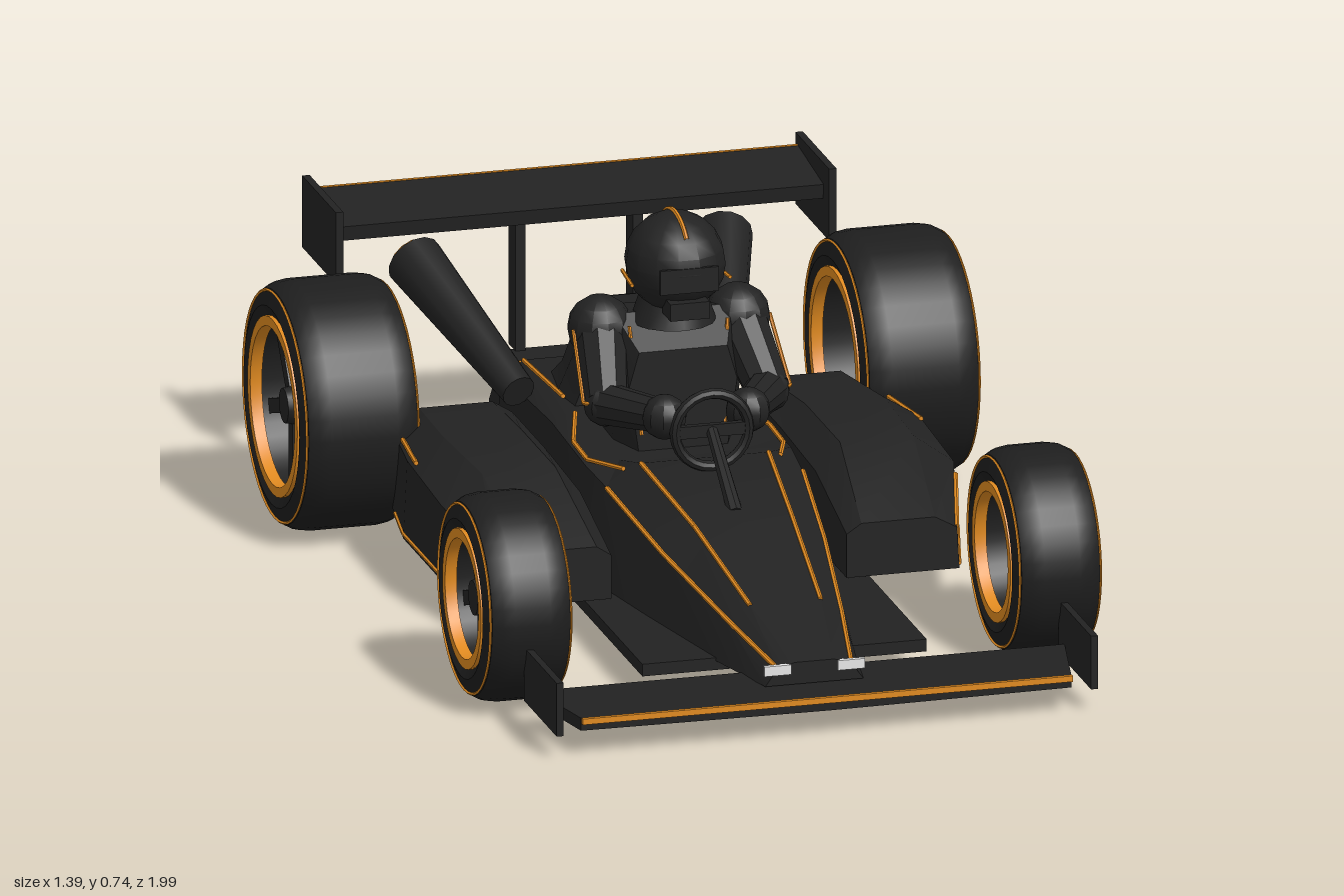
import * as THREE from 'three';
import { toCreasedNormals } from 'three/addons/utils/BufferGeometryUtils.js';

const V = (x, y, z) => new THREE.Vector3(x, y, z);
const mat = (name, color) => Object.assign(new THREE.MeshStandardMaterial({ color }), { name });

export function createModel() {
  const root = new THREE.Group();
  root.name = 'openWheelRacer';
  const black = mat('body black', 0x222222);
  const rubber = mat('tyre rubber', 0x1e1e1e);
  const orange = mat('orange trim', 0xe08a20);
  const white = mat('lamp white', 0xeeeeee);

  const add = (name, geo, material, pos = [0, 0, 0], parent = root) => {
    const m = new THREE.Mesh(toCreasedNormals(geo, 0.5), material);
    m.name = name;
    m.position.set(...pos);
    parent.add(m);
    return m;
  };
  const box = (name, size, pos, material = black, parent = root) =>
    add(name, new THREE.BoxGeometry(...size), material, pos, parent);
  // Tapered rod from a to b
  const rod = (name, a, b, r0, r1 = r0, material = orange, sides = 6) => {
    const d = b.clone().sub(a);
    const m = add(name, new THREE.CylinderGeometry(r1, r0, d.length(), sides), material);
    m.position.copy(a).addScaledVector(d, 0.5);
    m.quaternion.setFromUnitVectors(V(0, 1, 0), d.normalize());
    return m;
  };
  const stripe = (name, pts, r = 0.005) => {
    for (let i = 0; i + 1 < pts.length; i++) rod(name, pts[i], pts[i + 1], r);
  };
  // Skin over counter-clockwise sections, listed front to back
  const loft = (name, sections, material = black) => {
    const out = [];
    const P = (s, i) => [...s.pts[i % s.pts.length], s.z];
    const n = sections[0].pts.length;
    for (let k = 0; k + 1 < sections.length; k++) {
      const [s, t] = [sections[k], sections[k + 1]];
      for (let i = 0; i < n; i++)
        out.push(P(s, i), P(t, i), P(s, i + 1), P(s, i + 1), P(t, i), P(t, i + 1));
    }
    const [f, b] = [sections[0], sections[sections.length - 1]];
    for (let i = 1; i + 1 < n; i++)
      out.push(P(f, 0), P(f, i), P(f, i + 1), P(b, 0), P(b, i + 1), P(b, i));
    const g = new THREE.BufferGeometry();
    g.setAttribute('position', new THREE.Float32BufferAttribute(out.flat(), 3));
    return add(name, g, material);
  };
  const flip = pts => pts.map(([x, y]) => [-x, y]).reverse();
  const sym = (z, half) => ({ z, pts: [...half, ...flip(half)] });

  // Floor
  box('floor', [0.58, 0.025, 1.43], [0, 0.063, -0.04]);

  // Nose, cockpit and tail: bottom, shoulder and top edge per station
  const hull = [
    [0.89, [[0.1, 0.08], [0.075, 0.115], [0.04, 0.125]]],
    [0.68, [[0.14, 0.07], [0.115, 0.15], [0.072, 0.18]]],
    [0.38, [[0.2, 0.07], [0.165, 0.2], [0.1, 0.25]]],
    [0.1, [[0.25, 0.07], [0.2, 0.25], [0.13, 0.295]]],
    [-0.02, [[0.25, 0.07], [0.21, 0.26], [0.14, 0.265]]],
    [-0.3, [[0.24, 0.07], [0.2, 0.26], [0.15, 0.28]]],
    [-0.72, [[0.2, 0.08], [0.18, 0.22], [0.14, 0.25]]],
  ];
  loft('bodyShell', hull.map(([z, h]) => sym(z, h)));
  loft('engineCover', [
    sym(-0.33, [[0.15, 0.26], [0.11, 0.36], [0.07, 0.5]]),
    sym(-0.45, [[0.15, 0.26], [0.11, 0.35], [0.07, 0.46]]),
    sym(-0.61, [[0.13, 0.24], [0.09, 0.28], [0.06, 0.36]]),
  ]);
  loft('tailBlock', [
    sym(-0.68, [[0.2, 0.08], [0.17, 0.24]]),
    sym(-0.82, [[0.18, 0.14], [0.15, 0.24]]),
  ]);

  // Front wing with trim
  const wingPlan = new THREE.Shape([[-0.5, -0.975], [0, -0.985], [0.5, -0.975], [0.54, -0.785], [-0.54, -0.785]]
    .map(p => new THREE.Vector2(...p)));
  add('frontWing', new THREE.ExtrudeGeometry(wingPlan, { depth: 0.026, bevelEnabled: false })
    .rotateX(-Math.PI / 2), black, [0, 0.052, 0]);
  box('frontWingTrim', [1, 0.012, 0.009], [0, 0.074, 0.984], orange);

  // Rear wing with trim
  const rearWing = box('rearWing', [1, 0.03, 0.185], [0, 0.528, -0.888]);
  rearWing.rotation.x = 0.12;
  box('rearWingTrim', [1, 0.01, 0.008], [0, 0.55, -0.982], orange);

  for (const s of [1, -1]) {
    const side = (x, y, z) => V(s * x, y, z);

    // Wing endplates and pylons
    box('frontEndplate', [0.014, 0.11, 0.235], [s * 0.545, 0.102, 0.866]);
    box('rearEndplate', [0.015, 0.148, 0.243], [s * 0.503, 0.502, -0.876]);
    box('wingPylon', [0.02, 0.28, 0.05], [s * 0.12, 0.38, -0.83]);

    // Nose lamps and tail lamps
    box('noseLamp', [0.055, 0.02, 0.01], [s * 0.075, 0.112, 0.889], white);
    box('tailLamp', [0.055, 0.025, 0.01], [s * 0.165, 0.235, -0.72], orange);

    // Hull pinstripes
    stripe('shoulderStripe', hull.slice(0, 4).map(([z, h]) => side(...h[1], z)));
    stripe('noseStripe', hull.slice(1, 4).map(([z, h]) => side(...h[2], z)));
    stripe('tailStripe', [side(0.15, 0.28, -0.39), side(0.143, 0.256, -0.7)]);
    stripe('cockpitRim', [side(0.16, 0.28, 0.08), side(0.2, 0.265, -0.04), side(0.2, 0.27, -0.14), side(0.16, 0.285, -0.27)]);

    // Sidepods
    const pod = [
      [0.275, [[0.24, 0.08], [0.47, 0.08], [0.465, 0.165], [0.42, 0.19], [0.27, 0.19], [0.24, 0.17]]],
      [0.05, [[0.24, 0.08], [0.53, 0.08], [0.522, 0.225], [0.44, 0.285], [0.29, 0.285], [0.24, 0.23]]],
      [-0.2, [[0.24, 0.08], [0.53, 0.08], [0.522, 0.24], [0.45, 0.285], [0.29, 0.285], [0.24, 0.24]]],
      [-0.44, [[0.24, 0.08], [0.49, 0.08], [0.485, 0.225], [0.43, 0.265], [0.28, 0.265], [0.24, 0.24]]],
    ];
    loft('sidepod', pod.map(([z, p]) => ({ z, pts: s > 0 ? p : flip(p) })));
    stripe('podFrontStripe', [side(0.466, 0.165, 0.27), side(0.514, 0.212, 0.09)]);
    stripe('podRearStripe', [side(0.515, 0.247, -0.16), side(0.494, 0.241, -0.34)]);
    stripe('podSillStripe', [side(0.47, 0.09, 0.275), side(0.53, 0.09, 0.05), side(0.53, 0.09, -0.2), side(0.51, 0.09, -0.33)], 0.004);

    // Flared exhausts with glowing ends
    const e0 = side(0.21, 0.26, -0.5), e1 = side(0.315, 0.42, -0.88);
    const out = e1.clone().sub(e0).normalize();
    rod('exhaust', e0, e1, 0.035, 0.058, black, 14);
    rod('exhaustTip', e1, e1.clone().addScaledVector(out, 0.008), 0.05, 0.05, orange, 14);

    // Driver's arms
    const shoulder = side(0.14, 0.495, -0.16), elbow = side(0.165, 0.38, -0.03), hand = side(0.085, 0.39, 0.11);
    add('shoulder', new THREE.SphereGeometry(0.066, 12, 8), black, shoulder.toArray());
    rod('upperArm', shoulder, elbow, 0.056, 0.045, black, 10);
    add('elbow', new THREE.SphereGeometry(0.045, 10, 8), black, elbow.toArray());
    rod('forearm', elbow, hand, 0.043, 0.034, black, 10);
    add('glove', new THREE.SphereGeometry(0.045, 10, 8), black, hand.toArray());
    stripe('sleeveStripe', [side(0.2, 0.5, -0.14), side(0.211, 0.385, -0.03), side(0.125, 0.4, 0.085)], 0.004);
    stripe('suitStripe', [side(0.1, 0.515, -0.09), side(0.085, 0.3, -0.055)], 0.004);
    rod('helmetSideStripe', side(0.1, 0.605, -0.07), side(0.092, 0.605, -0.17), 0.004);
  }

  // Driver's torso, neck and seat
  loft('torso', [
    { z: -0.055, pts: [[-0.09, 0.26], [0.09, 0.26], [0.11, 0.4], [0.09, 0.47], [-0.09, 0.47], [-0.11, 0.4]] },
    { z: -0.13, pts: [[-0.12, 0.26], [0.12, 0.26], [0.145, 0.42], [0.12, 0.53], [-0.12, 0.53], [-0.145, 0.42]] },
    { z: -0.22, pts: [[-0.12, 0.26], [0.12, 0.26], [0.145, 0.42], [0.11, 0.52], [-0.11, 0.52], [-0.145, 0.42]] },
  ]);
  add('neck', new THREE.CylinderGeometry(0.065, 0.085, 0.06, 14), black, [0, 0.54, -0.13]);
  box('seatBack', [0.24, 0.2, 0.025], [0, 0.385, -0.265]).rotation.x = -0.18;
  for (const x of [-0.12, 0.12]) rod('seatTrim', V(x, 0.3, -0.295), V(x, 0.48, -0.262), 0.005);

  // Helmet with visor, chin guard and crest
  add('helmet', new THREE.SphereGeometry(0.1, 14, 10), black, [0, 0.635, -0.115]).scale.set(1, 1, 1.1);
  box('chinGuard', [0.08, 0.035, 0.06], [0, 0.563, -0.035]);
  box('visor', [0.12, 0.05, 0.008], [0, 0.625, -0.012]);
  const crest = [];
  for (let i = 0; i <= 10; i++) {
    const a = 0.75 + i * 0.235;
    crest.push(V(0, 0.635 + 0.1 * Math.sin(a), -0.115 + 0.117 * Math.cos(a)));
  }
  add('helmetCrest', new THREE.TubeGeometry(new THREE.CatmullRomCurve3(crest), 24, 0.005, 6), orange);

  // Steering wheel and column
  add('steeringWheel', new THREE.TorusGeometry(0.075, 0.011, 8, 24), black, [0, 0.368, 0.15]);
  box('steeringSpoke', [0.14, 0.025, 0.014], [0, 0.368, 0.15]);
  rod('steeringColumn', V(0, 0.368, 0.15), V(0, 0.25, 0.32), 0.012, 0.016, black, 8);

  // Wheels: axis along local y, outer face at +y
  const wheel = (name, s, x, z, R, w, ri) => {
    const g = new THREE.Group();
    g.name = name;
    g.position.set(s * x, R, z);
    g.rotation.z = -s * Math.PI / 2;
    root.add(g);
    const h = w / 2, c = 0.03;
    const ring = (part, pts, m) => add(part, new THREE.LatheGeometry(pts.map(p => new THREE.Vector2(...p)), 36), m, [0, 0, 0], g);
    ring('tyre', [[ri, -h + 0.012], [R - c * 1.6, -h], [R - c * 0.5, -h + c * 0.35], [R - 0.004, -h + c], [R, -h + c * 1.8],
      [R, h - c * 1.8], [R - 0.004, h - c], [R - c * 0.5, h - c * 0.35], [R - c * 1.6, h], [ri, h - 0.012], [ri, -h + 0.012]], rubber);
    ring('rimBarrel', [[ri - 0.012, -h + 0.02], [ri, -h + 0.02], [ri, h - 0.02], [ri - 0.012, h - 0.02], [ri - 0.012, -h + 0.02]], black);
    for (const e of [-1, 1]) {
      const y = e * (h - 0.014);
      ring('rimLip', [[ri - 0.017, y - 0.012], [ri + 0.003, y - 0.012], [ri + 0.003, y + 0.012], [ri - 0.017, y + 0.012], [ri - 0.017, y - 0.012]], orange);
      add('tyreLine', new THREE.TorusGeometry(R - c * 0.62, 0.003, 4, 48).rotateX(Math.PI / 2), orange, [0, e * (h - c * 0.27), 0], g);
    }
    add('hub', new THREE.CylinderGeometry(0.035, 0.045, 0.06, 16), black, [0, h - 0.055, 0], g);
    for (let i = 0; i < 5; i++) {
      const a = i * Math.PI * 0.4 + (s > 0 ? Math.PI : 0), r = ri / 2;
      const spoke = box('spoke', [ri - 0.01, 0.022, 0.03], [-Math.cos(a) * r, h - 0.05, Math.sin(a) * r], black, g);
      spoke.rotation.y = a;
    }
    // Brake caliper at the top of the rim
    box('caliper', [0.04, 0.05, 0.09], [-s * (ri - 0.05), h - 0.1, 0], orange, g);
  };
  for (const s of [1, -1]) {
    wheel('frontWheel', s, 0.54, 0.567, 0.207, 0.18, 0.137);
    wheel('rearWheel', s, 0.572, -0.573, 0.249, 0.243, 0.177);
  }
  return root;
}
